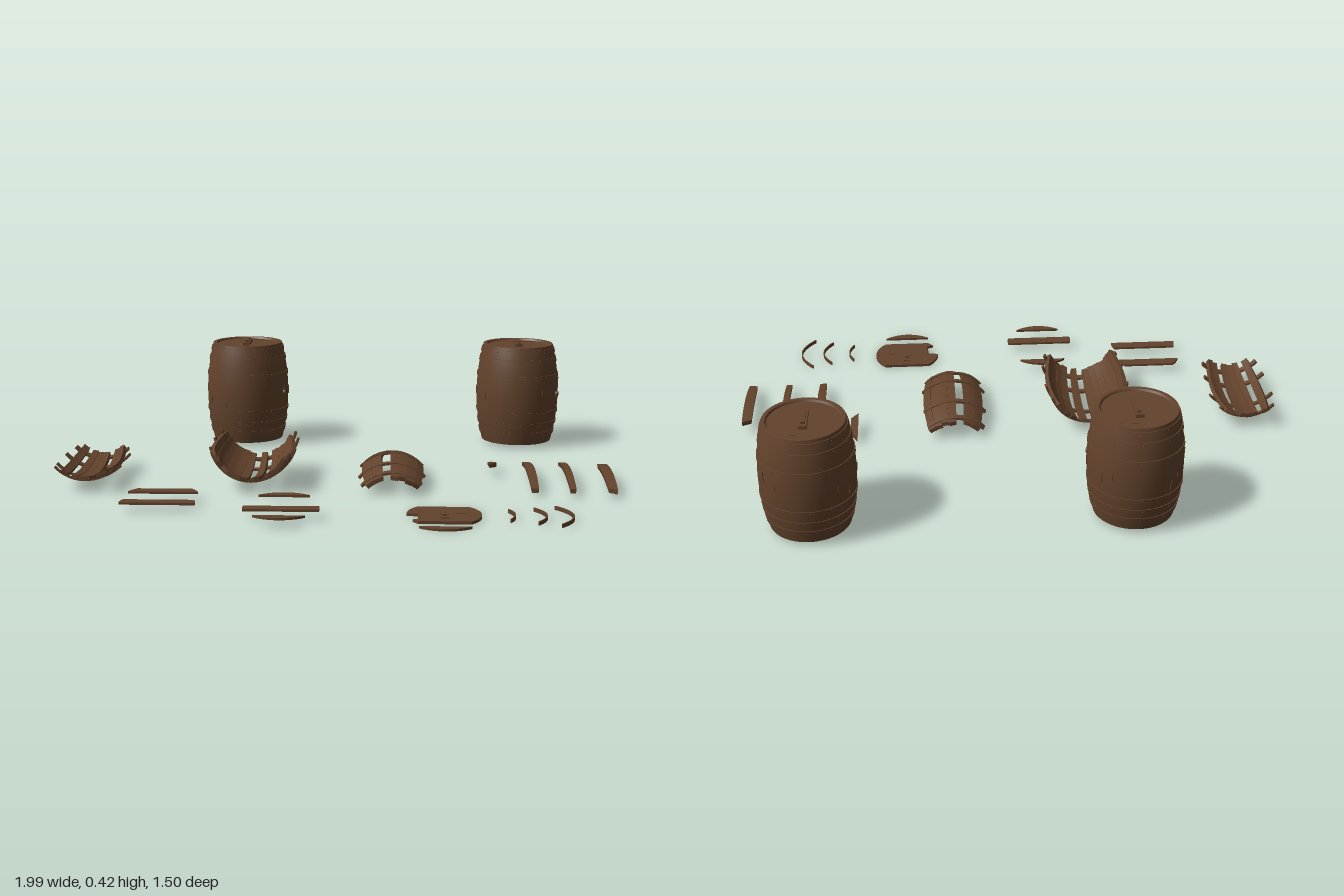
import * as THREE from 'three';
import { toCreasedNormals } from 'three/addons/utils/BufferGeometryUtils.js';

const wood = new THREE.MeshStandardMaterial({ color: 0x63432c });
wood.name = 'brown wood';

const HALF = 0.195;
// barrel radius at distance t from its middle
const bulge = (t) => 0.163 - 0.025 * (t / HALF) ** 2;

let seed = 7;
function rand(a, b) {
  seed = (seed * 16807) % 2147483647;
  return a + (b - a) * (seed / 2147483647);
}

function add(parent, name, geometry, x = 0, y = 0, z = 0) {
  const mesh = new THREE.Mesh(geometry, wood);
  mesh.name = name;
  mesh.position.set(x, y, z);
  parent.add(mesh);
  return mesh;
}

// curved slab of barrel wall lying along z; angle 0 is straight down
function wall(a0, a1, t0, t1, lift, thick, skew = 0) {
  const g = new THREE.BoxGeometry(1, 1, 1, Math.max(2, Math.ceil((a1 - a0) / 0.12)), 1, 10);
  const p = g.attributes.position;
  for (let i = 0; i < p.count; i++) {
    const u = p.getX(i) + 0.5, v = p.getY(i) + 0.5, w = p.getZ(i) + 0.5;
    const a = a0 + (a1 - a0) * u;
    const t = t0 + (t1 - t0) * w + skew * (u - 0.5) * (2 * w - 1);
    const r = bulge(t) + lift - thick * v;
    p.setXYZ(i, r * Math.sin(a), -r * Math.cos(a), t);
  }
  g.computeVertexNormals();
  return g;
}

function lathe(points, segments = 40) {
  return toCreasedNormals(new THREE.LatheGeometry(points.map(([r, y]) => new THREE.Vector2(r, y)), segments), 0.5);
}

// slice of a round lid between two chords, optionally with a broken edge
function slice(R, d0, d1, h, bite = false) {
  const n = 24, right = [], left = [];
  for (let i = 0; i <= n; i++) {
    const d = d0 + (d1 - d0) * i / n;
    const w = Math.sqrt(Math.max(0, R * R - d * d));
    right.push(new THREE.Vector2(w, d));
    const broken = bite && d < 0.001 && d > -0.061;
    left.unshift(new THREE.Vector2(broken ? -0.084 + rand(-0.004, 0.004) : -w, d));
  }
  const g = new THREE.ExtrudeGeometry(new THREE.Shape([...right, ...left]), { depth: h, bevelEnabled: false });
  return g.rotateX(-Math.PI / 2);
}

function handle(parent, x, y, z) {
  add(parent, 'lidHandle', new THREE.BoxGeometry(0.028, 0.012, 0.115), x, y + 0.006, z);
  add(parent, 'handleGrip', new THREE.BoxGeometry(0.014, 0.008, 0.085), x, y + 0.015, z);
}

function barrel(x, z) {
  const group = new THREE.Group();
  group.name = 'barrel';
  group.position.set(x, 0.216, z);
  // staved body with rim and sunken heads
  const side = [];
  for (let i = 0; i <= 16; i++) {
    const t = -HALF + 2 * HALF * i / 16;
    side.push([bulge(t), t]);
  }
  const body = [[0, -0.186], [0.124, -0.186], [0.128, -HALF], ...side, [0.125, HALF], [0.121, 0.188], [0, 0.188]];
  add(group, 'barrelBody', lathe(body));
  // hoops with rivets
  for (const [t, h] of [[-0.155, 0.02], [-0.115, 0.016], [-0.07, 0.014], [0.075, 0.014], [0.138, 0.018], [0.175, 0.016]]) {
    const a = t - h / 2, b = t + h / 2;
    add(group, 'hoop', lathe([[bulge(a) - 0.002, a], [bulge(a) + 0.003, a], [bulge(b) + 0.003, b], [bulge(b) - 0.002, b]]));
    for (let k = 0; k < 10; k++) {
      const q = k * Math.PI / 5 + rand(-0.1, 0.1), r = bulge(t) + 0.003;
      add(group, 'rivet', new THREE.SphereGeometry(0.002, 6, 4), r * Math.sin(q), t, r * Math.cos(q));
    }
  }
  // short splinters on the staves
  for (let k = 0; k < 12; k++) {
    const q = k * Math.PI / 6 + rand(-0.2, 0.2), t = rand(-0.04, 0.04);
    const splinter = add(group, 'splinter', new THREE.BoxGeometry(0.002, rand(0.015, 0.045), 0.004),
      bulge(t) * Math.sin(q), t, bulge(t) * Math.cos(q));
    splinter.rotation.y = q;
  }
  // bung on the side
  const bung = new THREE.Group();
  bung.name = 'bung';
  bung.rotation.y = -0.38;
  add(bung, 'bungRing', new THREE.CylinderGeometry(0.013, 0.013, 0.012, 12).rotateZ(-Math.PI / 2), 0.161, 0, 0);
  add(bung, 'bungPlug', new THREE.CylinderGeometry(0.01, 0.011, 0.014, 12).rotateZ(-Math.PI / 2), 0.163, 0, 0);
  group.add(bung);
  handle(group, 0, 0.188, 0);
  add(group, 'lidSplinter', new THREE.BoxGeometry(0.06, 0.002, 0.003), 0.035, 0.188, -0.09);
  return group;
}

// broken piece of barrel wall: groups of staves held by torn hoops
function fragment(x, y, z, runs, reach, arched = false) {
  const group = new THREE.Group();
  group.name = 'barrelFragment';
  group.position.set(x, y, z);
  if (arched) group.rotation.z = Math.PI;
  for (const [a0, a1] of runs) {
    const n = Math.max(1, Math.round((a1 - a0) / 0.2));
    for (let i = 0; i < n; i++) {
      const w = (a1 - a0) / n, s = a0 + w * i;
      add(group, 'stave', wall(s, s + w - 0.003, -HALF + rand(-0.002, 0.008), HALF - rand(-0.002, 0.006),
        rand(-0.002, 0.001), 0.015, rand(-0.006, 0.006)));
    }
  }
  for (const t of [-0.17, -0.075, 0.08, 0.165]) {
    add(group, 'tornHoop', wall(reach[0] + rand(0, 0.12), reach[1] - rand(0, 0.12), t - 0.009, t + 0.009, 0.003, 0.008));
  }
  return group;
}

// fallen stave arched upwards
function looseStave(parent, x, z0, z1, width, skew) {
  const a = width / 0.163 / 2;
  const g = wall(-a, a, z0 - 0.112, z1 - 0.112, 0, 0.016, skew).rotateZ(Math.PI);
  add(parent, 'looseStave', g, x, -0.098, 0.112);
}

export function createModel() {
  const model = new THREE.Group();
  model.name = 'barrelsAndDebris';
  model.add(barrel(-0.375, -0.587), barrel(0.715, -0.587));

  model.add(
    fragment(-0.872, 0.191, 0.113, [[-0.66, -0.45], [-0.33, 0.18], [0.34, 0.66]], [-0.87, 0.86]),
    fragment(-0.285, 0.191, 0.113, [[-1.25, -0.08], [0.08, 0.25], [0.39, 1.14]], [-1.4, 1.4]),
    fragment(0.213, -0.06, 0.113, [[-0.76, 0.05], [0.25, 0.74]], [-0.86, 0.88], true),
  );

  // loose staves
  for (const [x, z0, z1, w, skew] of [[0.582, -0.085, 0.02, 0.03, 0.03], [0.71, -0.083, 0.308, 0.031, 0],
    [0.842, -0.083, 0.308, 0.025, 0], [0.98, 0.01, 0.308, 0.037, -0.012]]) {
    looseStave(model, x, z0, z1, w, skew);
  }

  // lid boards: x, y, z of lid centre, chord limits
  for (const [x, y, z, d0, d1] of [
    [-0.575, 0.036, 0.459, 0.042, 0.085], [-0.575, 0.036, 0.563, 0, 0.042],
    [-0.155, 0.036, 0.538, 0.093, 0.13], [-0.155, 0.036, 0.609, -0.022, 0.022],
    [-0.155, 0.036, 0.607, -0.13, -0.095], [0.385, 0.008, 0.619, -0.13, -0.095]]) {
    add(model, 'lidBoard', slice(0.128, d0, d1, 0.008), x, y, z);
  }
  // broken lid with its handle
  add(model, 'brokenLid', slice(0.125, -0.09, 0.09, 0.01, true), 0.385, 0.008, 0.572);
  handle(model, 0.385, 0.01, 0.572);
  add(model, 'lidSplinter', new THREE.BoxGeometry(0.08, 0.002, 0.002), 0.465, 0.018, 0.57);

  // snapped hoop strips standing on edge
  for (const [x, z, half, sag] of [[0.618, 0.592, 0.06, 0.018], [0.722, 0.595, 0.085, 0.035], [0.81, 0.595, 0.11, 0.05]]) {
    const g = new THREE.BoxGeometry(0.004, 0.014, half * 2, 1, 1, 16);
    const p = g.attributes.position;
    for (let i = 0; i < p.count; i++) p.setX(i, p.getX(i) - sag * (p.getZ(i) / half) ** 2);
    g.computeVertexNormals();
    add(model, 'snappedHoop', g, x, 0.019, z);
  }
  return model;
}
